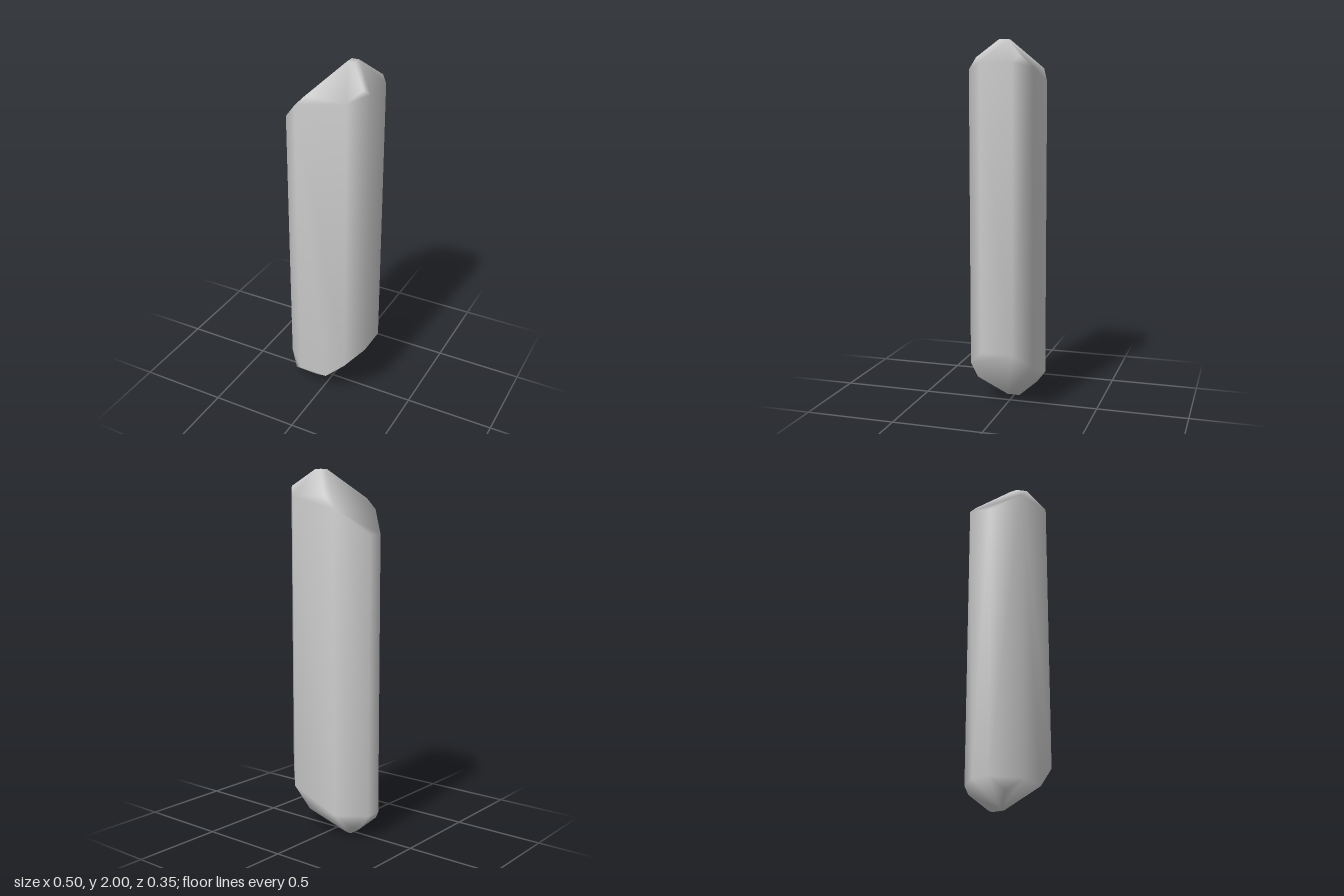
import * as THREE from 'three';
import { ConvexGeometry } from 'three/addons/geometries/ConvexGeometry.js';
import { mergeVertices } from 'three/addons/utils/BufferGeometryUtils.js';

// Facets of the crystal, each as [nx, ny, nz, d] meaning n . p <= d
const columnFacets = [
  [1, 0, 0, 0.252], [-1, 0, 0, 0.253],
  [0, 0, 1, 0.175], [0, 0, -1, 0.175],
  [1, 0, 1, 0.34], [1, 0, -1, 0.34],
  [-1, 0, 1, 0.298], [-1, 0, -1, 0.298],
];
const topFacets = [
  [0, 1, 0, 2], [-1, 1, 0, 1.91], [1, 1, 0, 2.13],
  [0, 1, 1, 2.02], [0, 1, -1, 2.03],
];
const bottomFacets = [
  [0, -1, 0, 0], [-1, -1, 0, 0.12], [1, -1, 0, -0.09],
  [0, -1, 1, 0.04], [0, -1, -1, 0.03],
];

// Corners of the solid bounded by the facets: every triple of planes that meets inside all the others
function cornersOf(facets) {
  const normals = facets.map(([x, y, z]) => new THREE.Vector3(x, y, z));
  const corners = [];
  const n = facets.length;
  for (let i = 0; i < n; i++) for (let j = i + 1; j < n; j++) for (let k = j + 1; k < n; k++) {
    const jk = normals[j].clone().cross(normals[k]);
    const det = normals[i].dot(jk);
    if (Math.abs(det) < 1e-6) continue;
    const p = jk.multiplyScalar(facets[i][3])
      .addScaledVector(normals[k].clone().cross(normals[i]), facets[j][3])
      .addScaledVector(normals[i].clone().cross(normals[j]), facets[k][3])
      .divideScalar(det);
    const inside = facets.every((f, m) => normals[m].dot(p) <= f[3] + 1e-6);
    if (inside && !corners.some((c) => c.distanceTo(p) < 1e-4)) corners.push(p);
  }
  return corners;
}

export function createModel() {
  const group = new THREE.Group();
  group.name = 'crystal';

  // Single convex shard with normals shared across its edges
  let geometry = new ConvexGeometry(cornersOf([...columnFacets, ...topFacets, ...bottomFacets]));
  geometry.deleteAttribute('normal');
  geometry = mergeVertices(geometry, 1e-4);
  geometry.computeVertexNormals();

  const shard = new THREE.Mesh(geometry, new THREE.MeshStandardMaterial({ color: 0xcccccc }));
  shard.name = 'crystalShard';
  group.add(shard);
  return group;
}
